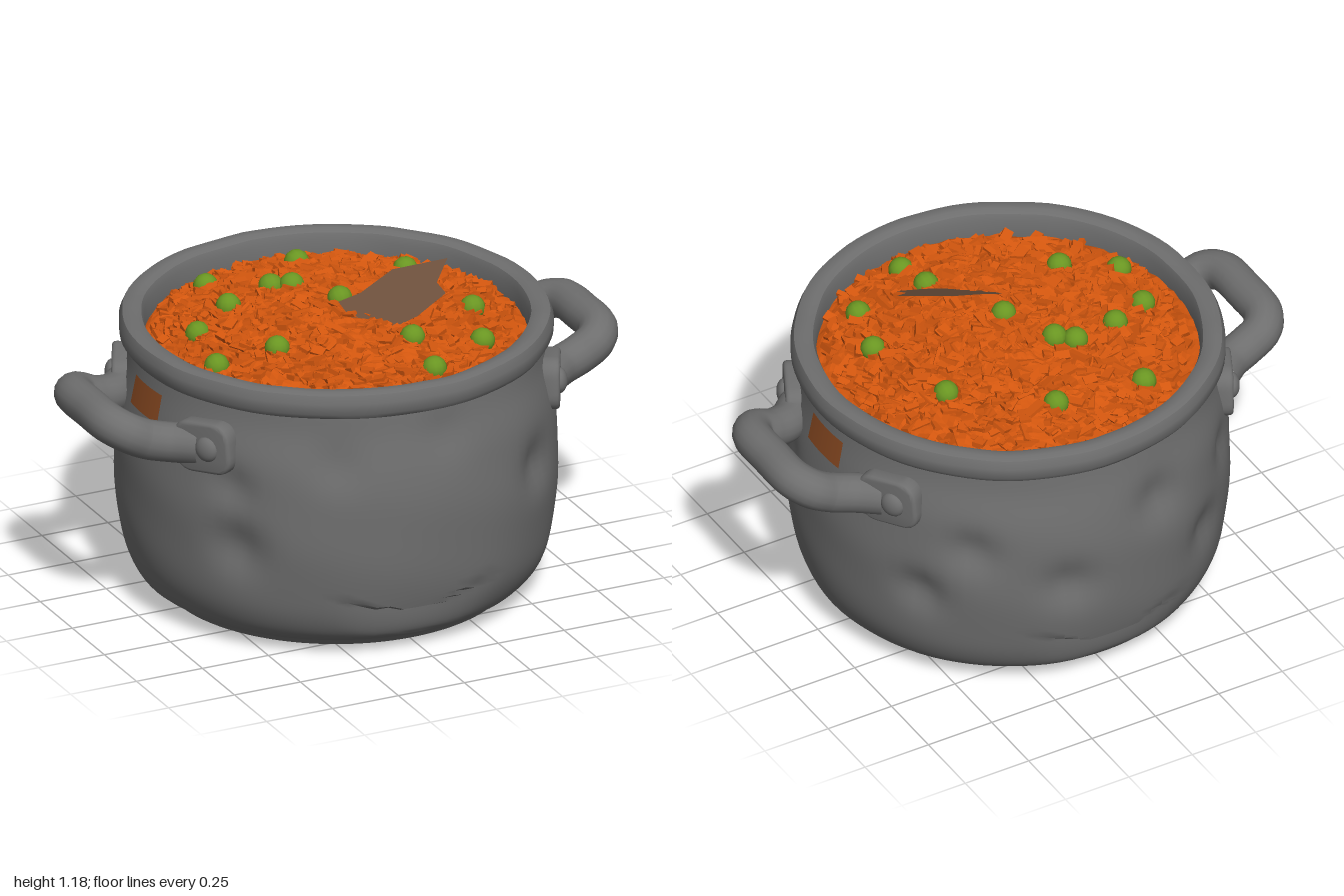
import * as THREE from 'three';
import { mergeGeometries, mergeVertices, toCreasedNormals } from 'three/addons/utils/BufferGeometryUtils.js';

const mat = (name, color) => Object.assign(new THREE.MeshStandardMaterial({ color }), { name });
const V2 = (x, y) => new THREE.Vector2(x, y);
const V3 = (x, y, z) => new THREE.Vector3(x, y, z);

let seed = 7;
const rnd = (a = 0, b = 1) => {
  seed = (seed * 16807) % 2147483647;
  return a + (b - a) * seed / 2147483647;
};

function add(parent, name, geometry, material) {
  const m = new THREE.Mesh(geometry, material);
  m.name = name;
  parent.add(m);
  return m;
}

function flat(geometry) {
  const g = geometry.index ? geometry.toNonIndexed() : geometry;
  g.deleteAttribute('uv');
  g.computeVertexNormals();
  return g;
}

// Dents in the wall: angle from the front towards +x, height, radius, depth
const DENTS = [
  [0.70, 0.55, 0.12, 0.035], [-0.92, 0.40, 0.13, 0.04], [0.10, 0.80, 0.13, 0.015], [-0.45, 0.72, 0.12, 0.018],
  [1.25, 0.62, 0.1, 0.01], [2.2, 0.40, 0.11, 0.04], [2.45, 0.6, 0.11, 0.035], [2.9, 0.45, 0.12, 0.035],
  [-2.9, 0.68, 0.12, 0.035], [-2.55, 0.40, 0.12, 0.035], [-2.3, 0.62, 0.1, 0.025], [-0.95, 0.62, 0.1, 0.025],
];

function potGeometry() {
  const wall = new THREE.SplineCurve([
    V2(0.62, 0.035), V2(0.68, 0.075), V2(0.72, 0.15), V2(0.742, 0.25), V2(0.755, 0.4),
    V2(0.755, 0.55), V2(0.742, 0.7), V2(0.715, 0.83), V2(0.705, 0.9)]).getPoints(44);
  const profile = [
    V2(0, 0.012), V2(0.3, 0.012), V2(0.585, 0.012), V2(0.6, 0.012), V2(0.61, 0.022), ...wall,
    V2(0.728, 0.906), V2(0.741, 0.925), V2(0.742, 0.965), V2(0.73, 0.993), V2(0.71, 1.0),
    V2(0.685, 1.0), V2(0.665, 0.99), V2(0.655, 0.965), V2(0.655, 0.9), V2(0.655, 0.84)];
  let g = new THREE.LatheGeometry(profile, 96);
  g.deleteAttribute('uv');
  g.deleteAttribute('normal');
  g = mergeVertices(g, 1e-4);
  const p = g.attributes.position;
  for (let i = 0; i < p.count; i++) {
    const x = p.getX(i), y = p.getY(i), z = p.getZ(i), r = Math.hypot(x, z);
    if (r < 0.61) continue;
    const a = Math.atan2(x, z);
    let d = 0;
    if (y < 0.9 && r > 0.67) {
      for (const [da, dy, size, depth] of DENTS) {
        const s = Math.atan2(Math.sin(a - da), Math.cos(a - da)) * 0.75;
        d += depth * Math.exp(-(s * s + (y - dy) ** 2) / (size * size * 0.5));
      }
      // Folded creases low on the front and back
      for (const c of [-0.05, Math.PI]) {
        const s = Math.atan2(Math.sin(a - c), Math.cos(a - c));
        const ledge = 0.16 + 0.5 * s * s;
        const below = ledge - y;
        if (Math.abs(s) < 0.42 && below > -0.012) d += 0.03 * Math.cos(s / 0.42 * 1.57) * Math.max(0, 1 - below / 0.11);
      }
      d += 0.003 * Math.sin(a * 7 + y * 9) * Math.sin(y * 13 - a * 3);
    }
    // Slightly battered rim
    const w = y > 0.9 ? 0.003 * Math.sin(a * 9) * Math.sin(a * 4 + 1) : 0;
    const k = (r - d + w) / r;
    p.setXYZ(i, x * k, y - (y > 0.95 ? Math.abs(w) : 0), z * k);
  }
  return toCreasedNormals(g, 0.7);
}

// Smooth height of the stew, without lumps
const stewHeight = r => 1.045 - 0.14 * Math.pow(r / 0.65, 2.2);

function stewGeometry() {
  // Lumpy domed surface
  const rings = 44, sides = 120, pos = [], idx = [];
  for (let i = 0; i <= rings; i++) for (let j = 0; j < sides; j++) {
    const r = 0.655 * i / rings, a = j / sides * Math.PI * 2;
    const x = r * Math.cos(a), z = r * Math.sin(a);
    const n = Math.sin(x * 31 + 3 * Math.sin(z * 17)) * Math.sin(z * 37 + 2.5 * Math.sin(x * 23));
    const jitter = i > 0 && i < rings ? rnd(-0.004, 0.004) : 0;
    pos.push(x, stewHeight(r) + 0.009 * n + jitter, z);
    if (i < rings) {
      const k = (j + 1) % sides, A = i * sides + j, B = i * sides + k;
      idx.push(A, B, A + sides, B, B + sides, A + sides);
    }
  }
  const dome = new THREE.BufferGeometry();
  dome.setAttribute('position', new THREE.Float32BufferAttribute(pos, 3));
  dome.setIndex(idx);
  const parts = [flat(dome)];
  // Shredded chunks lying over it
  for (let i = 0; i < 1300; i++) {
    const r = 0.62 * Math.sqrt(rnd()), a = rnd(0, Math.PI * 2);
    const chunk = new THREE.BoxGeometry(rnd(0.03, 0.085), rnd(0.01, 0.02), rnd(0.015, 0.04));
    const tilt = new THREE.Euler(rnd(-0.5, 0.5), rnd(0, 6.28), rnd(-0.35, 0.35), 'YXZ');
    chunk.applyMatrix4(new THREE.Matrix4().makeRotationFromEuler(tilt));
    chunk.translate(r * Math.cos(a), stewHeight(r) + rnd(-0.006, 0.006), r * Math.sin(a));
    parts.push(flat(chunk));
  }
  return mergeGeometries(parts);
}

function plateGeometry() {
  const w = 0.105, h = 0.08, c = 0.055, s = new THREE.Shape();
  s.moveTo(-w + c, -h);
  s.lineTo(w - c, -h); s.quadraticCurveTo(w, -h, w, -h + c);
  s.lineTo(w, h - c); s.quadraticCurveTo(w, h, w - c, h);
  s.lineTo(-w + c, h); s.quadraticCurveTo(-w, h, -w, h - c);
  s.lineTo(-w, -h + c); s.quadraticCurveTo(-w, -h, -w + c, -h);
  return toCreasedNormals(new THREE.ExtrudeGeometry(s, {
    depth: 0.04, bevelEnabled: true, bevelThickness: 0.015, bevelSize: 0.012, bevelSegments: 3, curveSegments: 6 }), 0.7);
}

function createHandle(metal, rust) {
  const handle = new THREE.Group();
  // Bent grip
  const half = [V3(0.66, 0.735, 0.29), V3(0.74, 0.735, 0.23), V3(0.82, 0.752, 0.207), V3(0.885, 0.783, 0.195), V3(0.925, 0.803, 0.14)];
  const path = [...half, V3(0.932, 0.808, 0), ...half.map(p => V3(p.x, p.y, -p.z)).reverse()];
  add(handle, 'grip', new THREE.TubeGeometry(new THREE.CatmullRomCurve3(path), 56, 0.069, 16), metal);
  // Riveted mounting plates
  for (const side of [1, -1]) {
    const mount = new THREE.Group();
    mount.name = 'handleMount';
    const t = Math.PI / 2 - side * 0.47;
    mount.position.set(0.71 * Math.sin(t), 0.745, 0.71 * Math.cos(t));
    mount.rotation.set(0, t, -side * 0.12, 'YXZ');
    add(mount, 'mountingPlate', plateGeometry(), metal);
    const rivet = add(mount, 'rivet', new THREE.SphereGeometry(0.045, 16, 8, 0, Math.PI * 2, 0, Math.PI / 2), metal);
    rivet.rotation.x = Math.PI / 2;
    rivet.scale.y = 0.6;
    rivet.position.set(-side * 0.025, 0, 0.053);
    handle.add(mount);
  }
  // Rust stain on the wall behind the grip
  const stain = new THREE.CylinderGeometry(0.716, 0.736, 0.1, 8, 1, true, Math.PI / 2 - 0.14, 0.28);
  add(handle, 'rustStain', stain, rust).position.y = 0.8;
  return handle;
}

export function createModel() {
  const metal = mat('pot metal', 0x6e6e6e), orange = mat('stew orange', 0xd2560e);
  const green = mat('pea green', 0x6a9622), brown = mat('leaf brown', 0x6b4f3b), rust = mat('rust', 0x8a4a22);
  brown.side = THREE.DoubleSide;
  const model = new THREE.Group();
  model.name = 'stewPot';

  add(model, 'pot', potGeometry(), metal);
  add(model, 'baseStud', new THREE.CylinderGeometry(0.055, 0.05, 0.014, 20), metal).position.y = 0.007;
  add(model, 'stew', stewGeometry(), orange);

  for (const turn of [0, Math.PI]) {
    const handle = createHandle(metal, rust);
    handle.name = turn ? 'rightHandle' : 'leftHandle';
    handle.rotation.y = turn;
    model.add(handle);
  }

  // Peas half sunk in the stew
  const peas = [[-0.28, -0.44], [0.06, -0.43], [-0.15, -0.2], [-0.09, -0.16], [-0.33, -0.16], [-0.49, -0.07], [0.36, -0.2],
    [0, 0.03], [-0.53, 0.16], [-0.33, 0.22], [0.44, 0.16], [0.12, 0.35], [0.37, 0.38], [0.12, 0.52]];
  for (const [x, z] of peas) {
    const pea = add(model, 'pea', new THREE.SphereGeometry(0.044, 12, 9), green);
    pea.position.set(x, stewHeight(Math.hypot(x, z)) + 0.004, z);
    pea.rotation.set(rnd(0, 3), rnd(0, 3), 0);
  }

  // Leaf standing at a slant
  const outline = [[-0.04, 0.1], [0.04, 0.11], [0.17, 0.09], [0.35, 0.15], [0.28, 0.21], [0.29, 0.26],
    [0.17, 0.285], [0.07, 0.28], [0.05, 0.23], [-0.03, 0.17]];
  const leaf = new THREE.ShapeGeometry(new THREE.Shape(outline.map(([x, z]) => V2(x, -z))));
  leaf.rotateX(-Math.PI / 2);
  const lp = leaf.attributes.position;
  for (let i = 0; i < lp.count; i++) lp.setY(i, 1.175 + 0.34 * (lp.getX(i) - 0.34) - 0.5 * (lp.getZ(i) - 0.15));
  leaf.computeVertexNormals();
  add(model, 'leaf', leaf, brown);

  return model;
}
